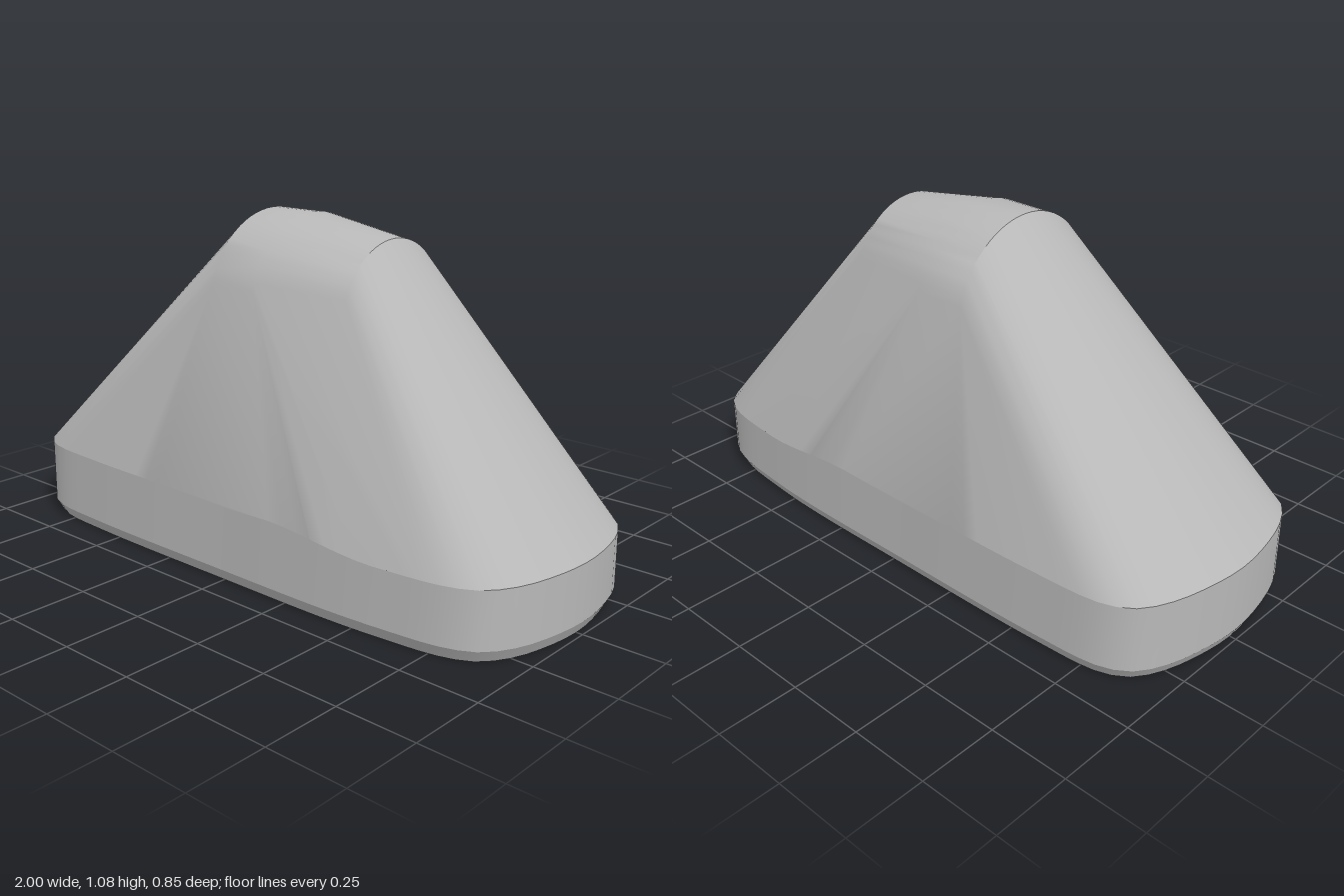
import * as THREE from 'three';
import { toCreasedNormals } from 'three/addons/utils/BufferGeometryUtils.js';
import { ConvexGeometry } from 'three/addons/geometries/ConvexGeometry.js';

// Half of the plan outline (x, z), mirrored across z to close it
const HALF = [
  [-1, 0], [-0.985, 0.14], [-0.95, 0.27], [-0.9, 0.355], [-0.82, 0.4], [-0.6, 0.42],
  [0, 0.425], [0.42, 0.423], [0.62, 0.41], [0.8, 0.386], [0.89, 0.345], [0.95, 0.26], [0.985, 0.14], [1, 0],
];

function planOutline(count) {
  const back = HALF.slice(1, -1).reverse().map(([x, z]) => [x, -z]);
  const pts = [...HALF, ...back].map(([x, z]) => new THREE.Vector3(x, 0, z));
  return new THREE.CatmullRomCurve3(pts, true, 'centripetal').getSpacedPoints(count).slice(0, count);
}

// The rim dips gently towards the +x end
const rimHeight = (x) => 0.25 - 0.035 * THREE.MathUtils.smoothstep(x, 0.2, 0.6);

// Wall with a chamfered foot, closed underneath
function baseGeometry(outline) {
  const foot = outline.map((p) => new THREE.Vector3(p.x * 0.98, 0, p.z * 0.955));
  const low = outline.map((p) => new THREE.Vector3(p.x, 0.04, p.z));
  const rim = outline.map((p) => new THREE.Vector3(p.x, rimHeight(p.x), p.z));
  const rings = [foot, low, rim];
  const centre = new THREE.Vector3();
  const tris = [];
  for (let i = 0; i < outline.length; i++) {
    const j = (i + 1) % outline.length;
    tris.push(centre, foot[j], foot[i]);
    for (let k = 0; k < 2; k++) {
      const [a, b, c, d] = [rings[k][i], rings[k][j], rings[k + 1][j], rings[k + 1][i]];
      tris.push(a, b, c, a, c, d);
    }
  }
  return toCreasedNormals(new THREE.BufferGeometry().setFromPoints(tris), 0.35);
}

// Sloping hood stretched from the rim over three rounded ridge sections
function hoodGeometry(outline) {
  const points = outline.map((p) => new THREE.Vector3(p.x, rimHeight(p.x), p.z));
  const sections = [[-0.17, 0.801, 0.279], [0, 0.801, 0.279], [0.315, 0.8, 0.23]]; // x, centre y, radius
  for (const [x, y, r] of sections) {
    for (let i = -14; i <= 14; i++) {
      const a = (i / 14) * 1.326;
      points.push(new THREE.Vector3(x, y + r * Math.cos(a), r * Math.sin(a)));
    }
  }
  return toCreasedNormals(new ConvexGeometry(points), 0.5);
}

export function createModel() {
  const grey = new THREE.MeshStandardMaterial({ color: 0xb8b8b8 });
  grey.name = 'grey';
  const outline = planOutline(96);
  const group = new THREE.Group();
  group.name = 'roundedWedge';
  const parts = { base: baseGeometry(outline), hood: hoodGeometry(outline) };
  for (const [name, geometry] of Object.entries(parts)) {
    const mesh = new THREE.Mesh(geometry, grey);
    mesh.name = name;
    group.add(mesh);
  }
  return group;
}
